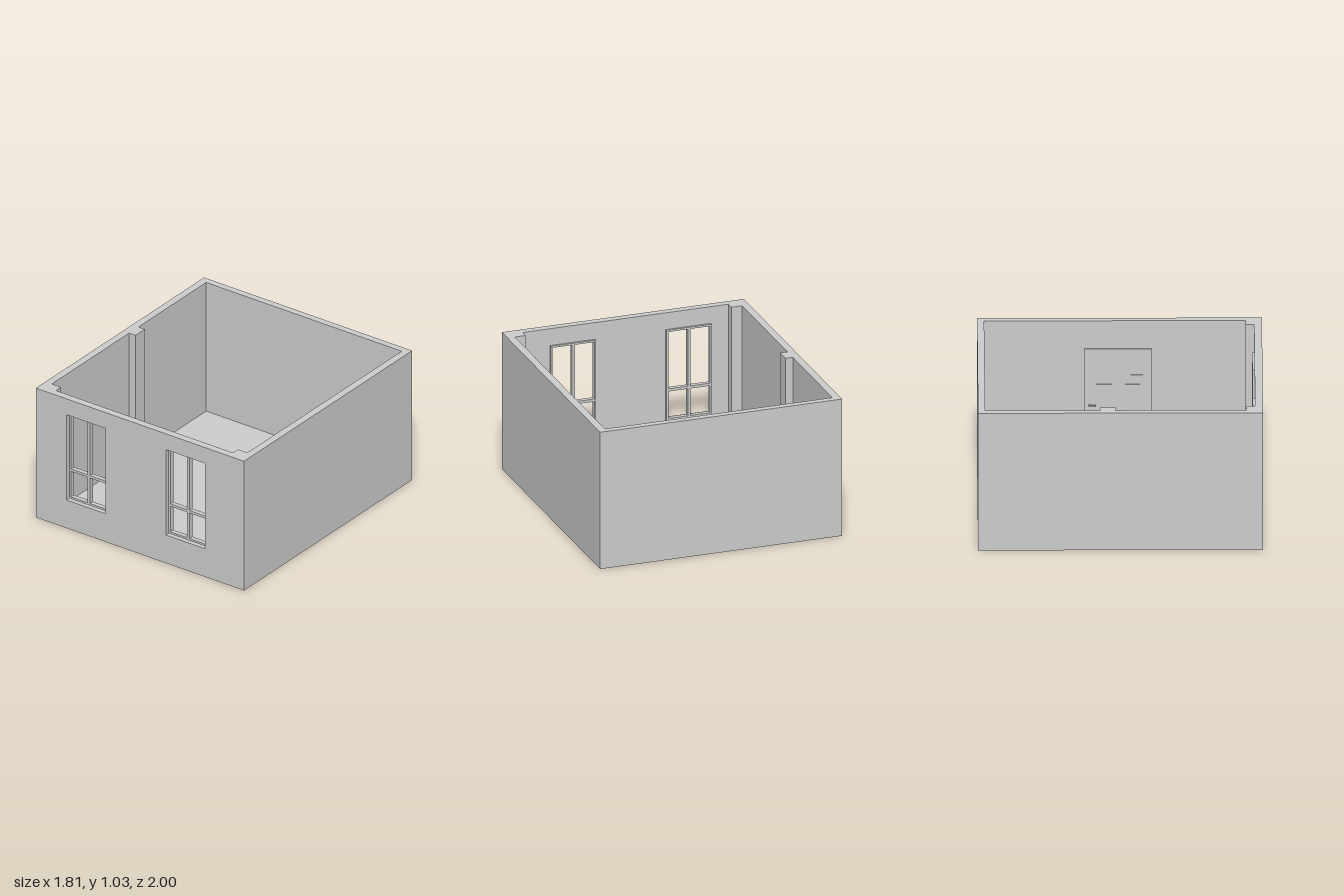
import * as THREE from 'three';

const material = new THREE.MeshStandardMaterial({ color: 0xcccccc, flatShading: true });
const HX = 0.905, HZ = 1, H = 1.035, FLOOR = 0.005;

function add(parent, name, geometry) {
  const mesh = new THREE.Mesh(geometry, material);
  mesh.name = name;
  parent.add(mesh);
  return mesh;
}

// Box given by its lowest and highest corner
function block(parent, name, [x0, y0, z0], [x1, y1, z1]) {
  const mesh = add(parent, name, new THREE.BoxGeometry(x1 - x0, y1 - y0, z1 - z0));
  mesh.position.set((x0 + x1) / 2, (y0 + y1) / 2, (z0 + z1) / 2);
  return mesh;
}

// Rectangle [x0, y0, x1, y1] with rectangular holes, extruded
function panel(outer, holes, depth) {
  const points = ([x0, y0, x1, y1]) => [[x0, y0], [x1, y0], [x1, y1], [x0, y1]].map(p => new THREE.Vector2(...p));
  const shape = new THREE.Shape(points(outer));
  shape.holes = holes.map(h => new THREE.Path(points(h).reverse()));
  return new THREE.ExtrudeGeometry(shape, { depth, bevelEnabled: false });
}

function createDoor() {
  const door = new THREE.Group();
  door.name = 'door';
  const top = 0.825;
  // Casing around the leaf; plan coordinates are (z, y), depth runs into the room
  const place = (name, geometry, x) => {
    geometry.rotateY(-Math.PI / 2);
    add(door, name, geometry).position.x = x;
  };
  place('doorCasing', panel([-0.245, FLOOR, 0.23, top], [[-0.225, FLOOR + 0.001, 0.21, top - 0.02]], 0.012), 0.85);
  const panels = [];
  for (const [z0, z1] of [[-0.18, -0.035], [0.02, 0.165]])
    for (const [y0, y1] of [[0.06, 0.24], [0.3, 0.58], [0.63, 0.77]]) panels.push([z0, y0, z1, y1]);
  place('doorLeaf', panel([-0.225, FLOOR, 0.21, top - 0.02], panels, 0.015), 0.85);
  // Raised field inside each sunken panel
  for (const [z0, y0, z1, y1] of panels) {
    block(door, 'doorPanelBack', [0.842, y0, z0], [0.85, y1, z1]);
    block(door, 'doorPanelField', [0.837, y0 + 0.02, z0 + 0.02], [0.843, y1 - 0.02, z1 - 0.02]);
  }
  // Lever handle
  block(door, 'handlePlate', [0.83, 0.36, -0.222], [0.836, 0.44, -0.2]);
  const stem = add(door, 'handleStem', new THREE.CylinderGeometry(0.005, 0.005, 0.032, 12));
  stem.rotation.z = Math.PI / 2;
  stem.position.set(0.818, 0.41, -0.211);
  block(door, 'handleLever', [0.8, 0.405, -0.216], [0.806, 0.415, -0.165]);
  return door;
}

function createWindow(x0) {
  const frame = new THREE.Group();
  frame.name = 'window';
  const x1 = x0 + 0.34, mid = (x0 + x1) / 2, y0 = 0.225, y1 = 0.908, t = 0.014, m = 0.01;
  const panes = [];
  for (const [a, b] of [[x0 + t, mid - m], [mid + m, x1 - t]])
    for (const [c, d] of [[y0 + t, 0.443], [0.463, y1 - t]]) panes.push([a, c, b, d]);
  add(frame, 'windowFrame', panel([x0, y0, x1, y1], panes, 0.035)).position.z = 0.93;
  return frame;
}

export function createModel() {
  const room = new THREE.Group();
  room.name = 'room';

  block(room, 'floor', [-HX, 0, -HZ], [HX, FLOOR, HZ]);

  // Back and side walls with corner piers and the chimney-like pilaster, in plan (x, z)
  const plan = [
    [-HX, 0.945], [-HX, -HZ], [HX, -HZ], [HX, 0.945],
    [0.77, 0.945], [0.77, 0.885], [0.85, 0.885], [0.85, -0.95],
    [-0.85, -0.95], [-0.85, -0.145], [-0.795, -0.145], [-0.795, -0.035],
    [-0.85, -0.035], [-0.85, 0.885], [-0.77, 0.885], [-0.77, 0.945],
  ];
  const outline = new THREE.Shape(plan.map(([x, z]) => new THREE.Vector2(x, -z)));
  const walls = new THREE.ExtrudeGeometry(outline, { depth: H - FLOOR, bevelEnabled: false });
  walls.rotateX(-Math.PI / 2);
  add(room, 'backAndSideWalls', walls).position.y = FLOOR;

  // Front wall with two window openings
  const windows = [-0.64, 0.225];
  const openings = windows.map(x => [x, 0.225, x + 0.34, 0.908]);
  add(room, 'frontWall', panel([-HX, FLOOR, HX, H], openings, 0.055)).position.z = 0.945;
  windows.forEach(x => room.add(createWindow(x)));

  room.add(createDoor());
  return room;
}
